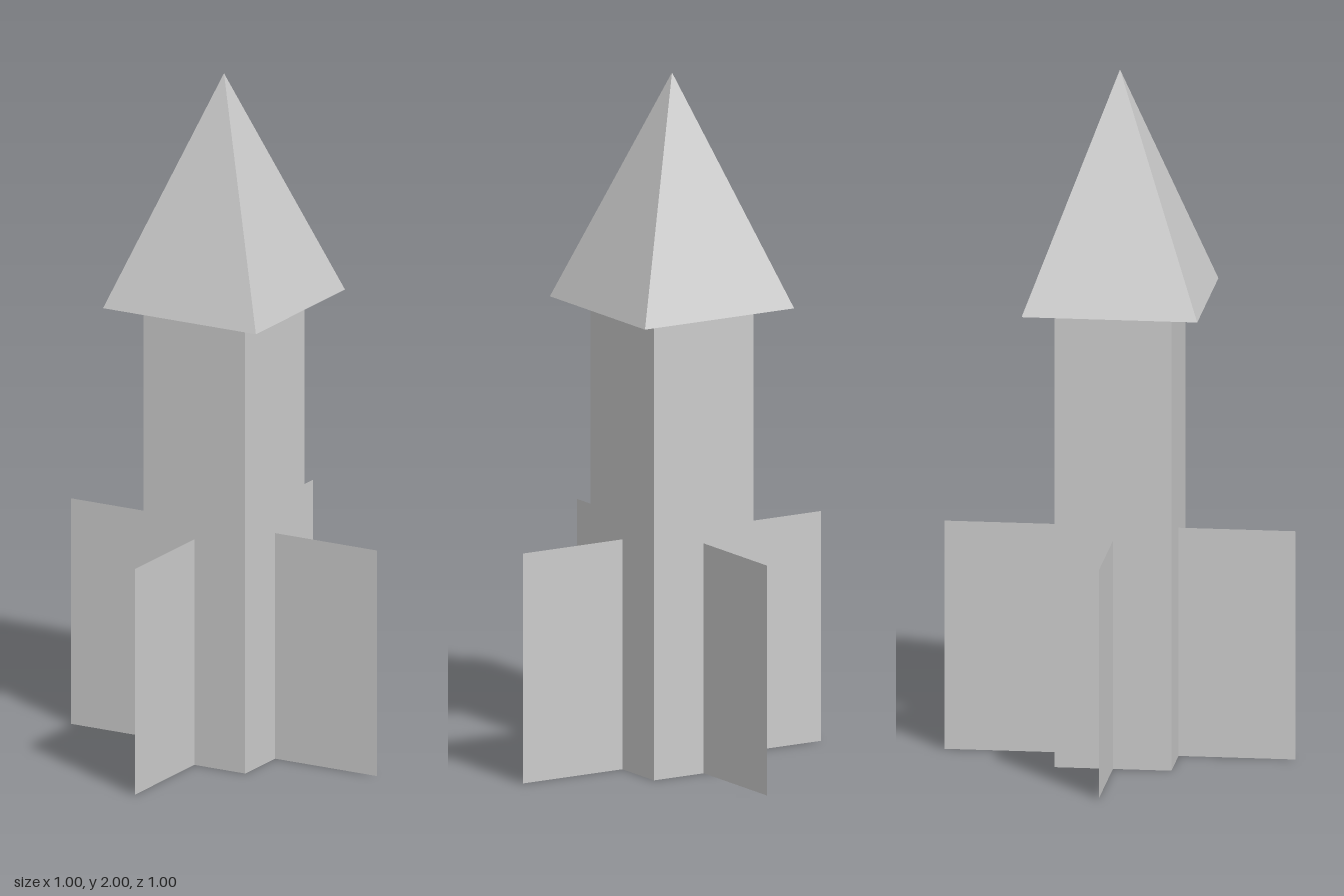
import * as THREE from 'three';

const BODY_WIDTH = 1 / 3;
const BODY_HEIGHT = 4 / 3;
const NOSE_WIDTH = 0.5;
const NOSE_HEIGHT = 2 / 3;
const FIN_WIDTH = 1 / 3;
const FIN_HEIGHT = 2 / 3;

export function createModel() {
  const model = new THREE.Group();
  model.name = 'rocket';

  const solid = new THREE.MeshStandardMaterial({ color: 0xcccccc, flatShading: true });
  const sheet = new THREE.MeshStandardMaterial({ color: 0xcccccc, side: THREE.DoubleSide });

  const add = (name, geometry, material) => {
    const mesh = new THREE.Mesh(geometry, material);
    mesh.name = name;
    model.add(mesh);
    return mesh;
  };

  // Square body standing on the ground
  add('body', new THREE.BoxGeometry(BODY_WIDTH, BODY_HEIGHT, BODY_WIDTH), solid)
    .position.y = BODY_HEIGHT / 2;

  // Four-sided nose, overhanging the body, its sides square to the axes
  const nose = new THREE.ConeGeometry(NOSE_WIDTH * Math.SQRT1_2, NOSE_HEIGHT, 4).rotateY(Math.PI / 4);
  add('noseCone', nose, solid).position.y = BODY_HEIGHT + NOSE_HEIGHT / 2;

  // Paper-thin fins, one from the middle of each body side
  const fin = new THREE.PlaneGeometry(FIN_WIDTH, FIN_HEIGHT)
    .translate((BODY_WIDTH + FIN_WIDTH) / 2, FIN_HEIGHT / 2, 0);
  ['leftFin', 'backFin', 'rightFin', 'frontFin'].forEach((name, i) => {
    add(name, fin, sheet).rotation.y = (i * Math.PI) / 2;
  });

  return model;
}
